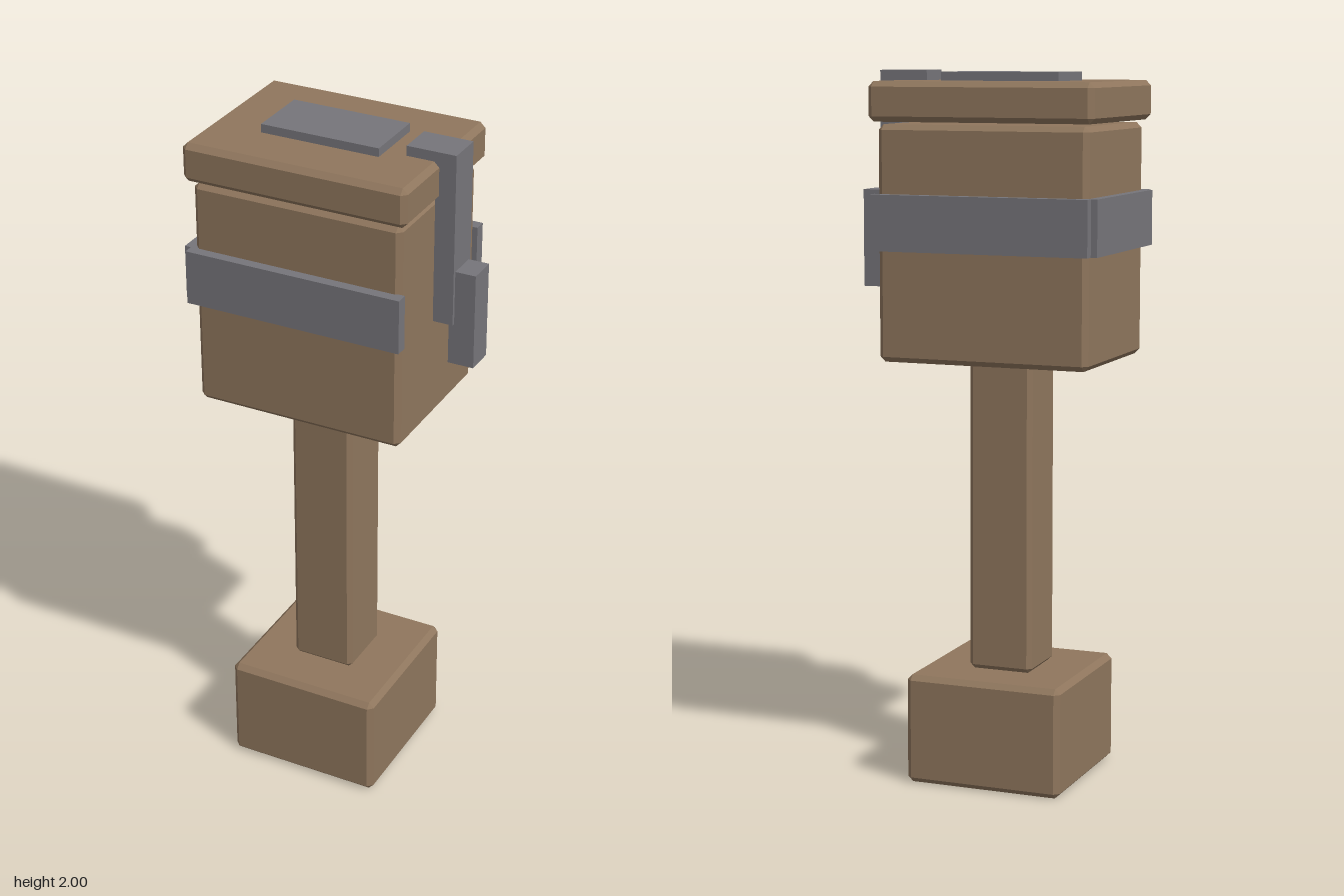
import * as THREE from 'three';
import { ConvexGeometry } from 'three/addons/geometries/ConvexGeometry.js';

const wood = new THREE.MeshStandardMaterial({ color: 0x8f765d });
wood.name = 'wood';
const metal = new THREE.MeshStandardMaterial({ color: 0x76757a });
metal.name = 'metal';

// Box with every edge cut at 45 degrees: three corner points per corner
function chamferedBox(w, h, d, c) {
  const points = [];
  for (const sx of [-1, 1]) for (const sy of [-1, 1]) for (const sz of [-1, 1]) {
    const x = w / 2, y = h / 2, z = d / 2;
    points.push(
      new THREE.Vector3(sx * x, sy * (y - c), sz * (z - c)),
      new THREE.Vector3(sx * (x - c), sy * y, sz * (z - c)),
      new THREE.Vector3(sx * (x - c), sy * (y - c), sz * z),
    );
  }
  return new ConvexGeometry(points);
}

export function createModel() {
  const model = new THREE.Group();
  model.name = 'postBox';

  // Adds a block from its limits on each axis; a chamfer of 0 keeps edges sharp
  const block = (name, material, [x0, x1], [y0, y1], [z0, z1], chamfer = 0) => {
    const size = [x1 - x0, y1 - y0, z1 - z0];
    const geometry = chamfer ? chamferedBox(...size, chamfer) : new THREE.BoxGeometry(...size);
    const mesh = new THREE.Mesh(geometry, material);
    mesh.name = name;
    mesh.position.set((x0 + x1) / 2, (y0 + y1) / 2, (z0 + z1) / 2);
    model.add(mesh);
  };

  // Wooden foot, post, box and lid
  block('foot', wood, [-0.28, 0.18], [0, 0.313], [-0.23, 0.23], 0.015);
  block('post', wood, [-0.145, 0.043], [0.313, 1.198], [-0.093, 0.093], 0.013);
  block('box', wood, [-0.357, 0.257], [1.2, 1.855], [-0.23, 0.23], 0.015);
  block('lid', wood, [-0.377, 0.278], [1.862, 1.972], [-0.25, 0.25], 0.015);

  // Metal straps round the front, back and one side
  const strapY = [1.51, 1.665];
  block('frontStrap', metal, [-0.367, 0.268], strapY, [0.225, 0.26]);
  block('backStrap', metal, [-0.367, 0.268], strapY, [-0.26, -0.225]);
  block('sideStrap', metal, [-0.385, -0.35], strapY, [-0.232, 0.232]);

  // Plate on the lid
  block('lidPlate', metal, [-0.222, 0.124], [1.965, 1.996], [-0.092, 0.092]);

  // Hasp folded over the lid edge, with its catch
  block('haspTop', metal, [0.184, 0.268], [1.965, 2], [-0.052, 0.052]);
  block('haspArm', metal, [0.268, 0.326], [1.51, 2], [-0.052, 0.052]);
  block('catch', metal, [0.31, 0.385], [1.39, 1.665], [-0.042, 0.042]);

  return model;
}
